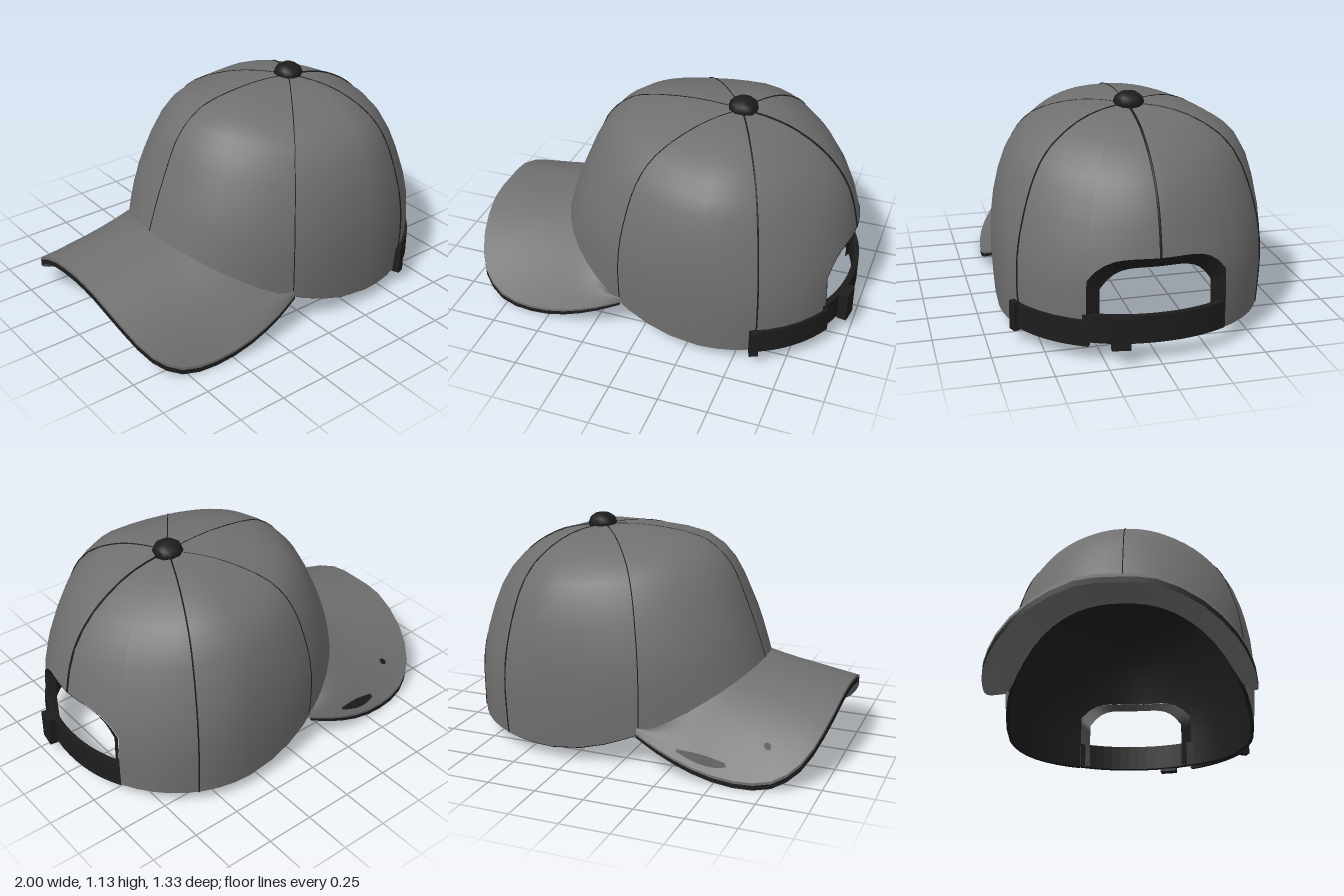
import * as THREE from 'three';

const AXIS = 0.33, GAP = 0.513, TOP = 7, THICK = 0.02;

// Crown profiles (radius, height) from rim to apex, at front, side and back
const spline = pts => new THREE.SplineCurve(pts.map(p => new THREE.Vector2(...p)));
const FRONT = spline([[.89, .43], [.84, .58], [.78, .73], [.70, .9], [.56, 1.02], [.34, 1.06], [.16, 1.065], [0, 1.05]]);
const SIDE = spline([[.65, .057], [.665, .3], [.655, .55], [.6, .79], [.495, .93], [.33, 1.015], [.16, 1.05], [0, 1.05]]);
const BACK = spline([[.635, .09], [.635, .28], [.62, .5], [.56, .72], [.44, .88], [.28, .985], [.14, 1.03], [0, 1.05]]);

// Point on the crown at angle a (0 = back, PI = brim side) and level s, moved inward by inset.
// Each angle keeps one straight direction in plan, so the seams run straight to the top.
function crownPoint(a, s, inset = 0) {
  const t = s / TOP, c = Math.cos(a), n = Math.sin(a), front = c < 0;
  const w = Math.pow(Math.abs(c), 1.5);
  const end = (front ? FRONT : BACK).getPoint(t), side = SIDE.getPoint(t);
  const p0 = front ? 2.3 : 2.1;
  const round = q => Math.sign(q) * Math.pow(Math.abs(q), 2 / p0);
  const dx = (front ? 0.89 : 0.635) * round(c), dz = 0.65 * round(n);
  // Plan outline is squarer at the rim and rounder towards the top
  const p = p0 - (front ? 0.3 : 0.42) * THREE.MathUtils.smoothstep(s, 1, 3.2);
  const rx = Math.max(1e-4, end.x - inset), rz = Math.max(1e-4, side.x - inset);
  const f = Math.pow(Math.pow(Math.abs(dx) / rx, p) + Math.pow(Math.abs(dz) / rz, p), -1 / p);
  return new THREE.Vector3(AXIS + dx * f, end.y * w + side.y * (1 - w) - inset * t, dz * f);
}

// Lower level of the back panel, following the arched opening
const archLevel = a => 1.45 + 0.5 * (1 - Math.pow(Math.min(1, Math.abs(a) / GAP), 4));

// Surface from f(u, v), with u and v in 0..1
function grid(f, nu, nv, flip = false) {
  const pos = [], idx = [];
  for (let i = 0; i <= nu; i++)
    for (let j = 0; j <= nv; j++) pos.push(...f(i / nu, j / nv).toArray());
  for (let i = 0; i < nu; i++)
    for (let j = 0; j < nv; j++) {
      const a = i * (nv + 1) + j, c = a + 1, b = a + nv + 1, d = b + 1;
      if (flip) idx.push(a, b, c, c, b, d);
      else idx.push(a, c, b, c, d, b);
    }
  const g = new THREE.BufferGeometry();
  g.setAttribute('position', new THREE.Float32BufferAttribute(pos, 3));
  g.setIndex(idx);
  g.computeVertexNormals();
  return g;
}

export function createModel() {
  const cap = new THREE.Group();
  cap.name = 'baseballCap';
  const grey = new THREE.MeshStandardMaterial({ color: 0x707070, side: THREE.DoubleSide });
  grey.name = 'grey fabric';
  const black = new THREE.MeshStandardMaterial({ color: 0x1d1d1d, side: THREE.DoubleSide });
  black.name = 'black trim';
  const add = (name, geo, mat, x = 0, y = 0, z = 0) => {
    const m = new THREE.Mesh(geo, mat);
    m.name = name;
    m.position.set(x, y, z);
    cap.add(m);
    return m;
  };

  // Crown shell and black lining; the back panel stops at the arch
  const mainAngle = u => GAP + u * (2 * Math.PI - 2 * GAP);
  const main = inset => (u, v) => crownPoint(mainAngle(u), v * TOP, inset);
  const back = inset => (u, v) => {
    const a = (2 * u - 1) * GAP;
    return crownPoint(a, Math.max(archLevel(a), v * TOP), inset);
  };
  add('crown', grid(main(0), 40, 14), grey);
  add('crownBack', grid(back(0), 14, 14), grey);
  add('lining', grid(main(THICK), 40, 14, true), black);
  add('liningBack', grid(back(THICK), 14, 14, true), black);
  add('crownRim', grid((u, v) => {
    const p = crownPoint(mainAngle(u), 0, THICK * v);
    p.y -= 0.008 * Math.sin(Math.PI * v);
    return p;
  }, 40, 2), black);

  // Turned-in binding around the back opening
  const opening = u => {
    if (u < 0.25) return [-GAP, 1.45 * u * 4];
    if (u > 0.75) return [GAP, 1.45 * (1 - u) * 4];
    const a = (u - 0.5) * 4 * GAP;
    return [a, archLevel(a)];
  };
  add('openingBinding', grid((u, v) => {
    const [a, s] = opening(u);
    return crownPoint(a * (1 - 0.15 * v), Math.max(0, s - 0.2 * v), 0.05 * v - 0.003);
  }, 32, 2), black);

  // Six panel seams: fine at the front, heavier at the back
  for (const [deg, radius] of [[0, .006], [65, .004], [295, .004], [116, .0025], [180, .0025], [244, .0025]]) {
    const a = deg * Math.PI / 180, s0 = deg === 0 ? archLevel(0) : 0;
    const pts = [];
    for (let i = 0; i <= 12; i++) pts.push(crownPoint(a, s0 + (6.9 - s0) * i / 12));
    add('seam', new THREE.TubeGeometry(new THREE.CatmullRomCurve3(pts), 24, radius, 5), black);
  }

  // Button on top
  add('topButton', new THREE.SphereGeometry(1, 10, 6), black, 0.335, 1.062, -0.008).scale.set(0.076, 0.053, 0.076);

  // Curved brim, lofted from the crown rim to its outer edge
  const half = [[-1, .335, .18], [-.97, .24, .38], [-.9, .12, .52], [-.78, .04, .59],
    [-.6, .024, .62], [-.4, .065, .635], [-.22, .13, .625], [-.1, .178, .6]];
  const edge = new THREE.CatmullRomCurve3([
    ...half.map(([x, y, z]) => new THREE.Vector3(x, y, -z * 1.02)).reverse(),
    new THREE.Vector3(-1, 0.35, 0),
    ...half.map(p => new THREE.Vector3(...p))]);
  // Brim layer at a given depth below the top; the brim is thicker at its middle
  const brim = drop => (u, v) => {
    const k = 2 * u - 1;
    const p = crownPoint(Math.PI - k * 1.12, 0, 0.006 + drop * 0.6).lerp(edge.getPoint(u), v);
    p.y += 0.03 * Math.sin(Math.PI * v) * k * k - drop * (2 - k * k) * Math.min(1, v * 3);
    return p;
  };
  const brimEdge = (d0, d1) => grid((u, v) => brim(d0 + (d1 - d0) * v)(u, 1), 32, 1);
  add('brimTop', grid(brim(0), 32, 6), grey);
  add('brimUnderside', grid(brim(0.022), 32, 6, true), grey);
  add('brimEdgeUpper', brimEdge(0, 0.008), grey);
  add('brimEdgeLower', brimEdge(0.008, 0.022), black);

  // Small dark marks on one side of the brim
  for (const [u0, u1, mid, width] of [[.1, .185, .83, .08], [.272, .286, .705, .04]])
    add('brimMark', grid((u, v) => brim(-0.004)(
      u0 + (u1 - u0) * u, mid + width * (2 * v - 1) * Math.sin(Math.PI * (0.1 + 0.8 * u))), 10, 2), black);

  // Straps: rectangular section swept around the crown
  const band = (a0, a1, y0, y1, out, inn) => {
    const corners = [[out, y0], [out, y1], [inn, y1], [inn, y0], [out, y0]];
    const g = grid((u, v) => {
      const [inset, y] = corners[Math.round(v * 4)];
      return crownPoint(a0 + (a1 - a0) * u, 0.4, inset).setY(y);
    }, 14, 4).toNonIndexed();
    g.computeVertexNormals();
    return g;
  };
  add('backStrap', band(-GAP, GAP + 0.03, 0.085, 0.22, -0.004, 0.025), black);
  add('sideStrap', band(GAP - 0.02, 1.14, 0.068, 0.195, -0.015, 0.01), black);

  // Buckle and strap keeper
  add('buckle', new THREE.BoxGeometry(0.05, 0.155, 0.09), black, 0.965, 0.148, 0.188).rotation.y = -0.15;
  add('strapKeeper', new THREE.BoxGeometry(0.045, 0.145, 0.045), black, 0.605, 0.125, 0.61).rotation.y = 0.4;

  return cap;
}
